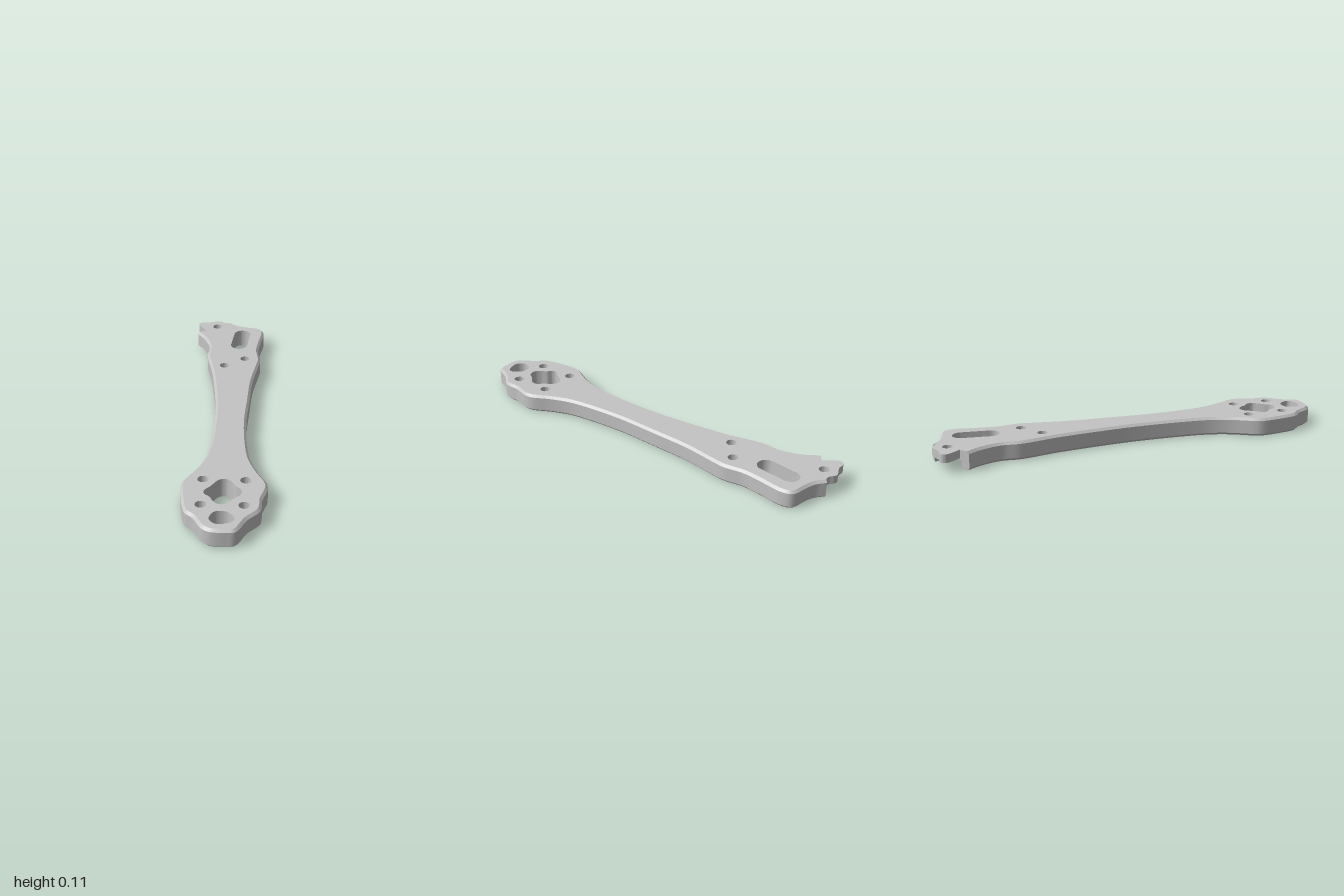
import * as THREE from 'three';
import { mergeGeometries, toCreasedNormals } from 'three/addons/utils/BufferGeometryUtils.js';

const TOP = 0.108, LEDGE = 0.06, CH = 0.014, END = -0.889;

// smooth plan curve through a flat x,z list
const smooth = (a, closed = false) => {
  const p = [];
  for (let i = 0; i < a.length; i += 2) p.push(new THREE.Vector3(a[i], 0, a[i + 1]));
  return new THREE.CatmullRomCurve3(p, closed, 'centripetal');
};
const plan = (curve, n) => curve.getPoints(n).map((p) => new THREE.Vector2(p.x, p.z));
const closedLoop = (a) => plan(smooth(a, true), 72).slice(0, -1);
const arc = (x, z, r, a0, a1, n) => Array.from({ length: n + 1 }, (_, i) => {
  const t = a0 + (a1 - a0) * i / n;
  return new THREE.Vector2(x + r * Math.cos(t), z + r * Math.sin(t));
});
const circle = (x, z) => arc(x, z, 0.029, 0, Math.PI * 2, 28).slice(0, -1);

// closed band between two plan loops at two heights
function wall(a, ya, b, yb) {
  const v = [];
  a.forEach((p, i) => {
    const j = (i + 1) % a.length, q = a[j], pu = b[i], qu = b[j];
    v.push(p.x, ya, p.y, pu.x, yb, pu.y, q.x, ya, q.y);
    v.push(q.x, ya, q.y, pu.x, yb, pu.y, qu.x, yb, qu.y);
  });
  const g = new THREE.BufferGeometry();
  g.setAttribute('position', new THREE.Float32BufferAttribute(v, 3));
  return g;
}

// flat face facing up (dir 1) or down (dir -1)
function cap(loop, holes, y, dir) {
  const flip = (l) => l.map((p) => new THREE.Vector2(p.x, -dir * p.y));
  const s = new THREE.Shape(flip(loop));
  s.holes = holes.map((h) => new THREE.Path(flip(h)));
  const g = new THREE.ShapeGeometry(s).rotateX(-dir * Math.PI / 2).translate(0, y, 0).toNonIndexed();
  g.deleteAttribute('uv');
  g.deleteAttribute('normal');
  return g;
}

export function createModel() {
  const group = new THREE.Group();
  group.name = 'arm';
  const grey = new THREE.MeshStandardMaterial({ color: 0xc4c4c4 });
  grey.name = 'light grey';

  // long side outline, from the right end corner round to the left end corner
  const side = smooth([
    0.65, END, 0.667, -0.826, 0.71, -0.766, 0.748, -0.722, 0.757, -0.688, 0.734, -0.637,
    0.64, -0.544, 0.56, -0.458, 0.527, -0.401, 0.497, -0.351, 0.45, -0.303, 0.298, -0.156,
    0.14, 0.03, -0.018, 0.221, -0.151, 0.417, -0.215, 0.534, -0.252, 0.654, -0.273, 0.761,
    -0.30, 0.804, -0.38, 0.866, -0.41, 0.903, -0.444, 0.934, -0.54, 0.956, -0.605, 0.99,
    -0.625, 0.998, -0.645, 0.999, -0.667, 0.986, -0.738, 0.93, -0.757, 0.884, -0.747, 0.784,
    -0.756, 0.729, -0.735, 0.671, -0.656, 0.534, -0.624, 0.501, -0.47, 0.427, -0.376, 0.359,
    -0.26, 0.234, -0.10, 0.03, 0.005, -0.126, 0.164, -0.393, 0.265, -0.596, 0.34, -0.686,
    0.38, -0.806, 0.386, END,
  ]);
  const N = 320;
  const outline = (inset) => Array.from({ length: N + 1 }, (_, i) => {
    const p = side.getPointAt(i / N), t = side.getTangentAt(i / N);
    if (i === 0) t.set(0, 0, 1);
    if (i === N) t.set(0, 0, -1);
    return new THREE.Vector2(p.x - t.z * inset, p.z + t.x * inset);
  });

  // end edge: scooped recess below, mounting tab above
  const scoop = arc(0.54, END, 0.1, Math.PI, 0, 24);
  const tab = plan(smooth([
    0.45, END, 0.45, -0.95, 0.453, -0.978, 0.464, -0.994, 0.482, -1, 0.5, -0.994, 0.525, -0.972,
    0.56, -0.962, 0.593, -0.952, 0.605, -0.935, 0.612, -0.907, 0.63, END,
  ]), 44);
  const full = outline(0), inner = outline(CH);
  const low = [...full, ...scoop], lowIn = [...inner, ...scoop];
  const high = [...full, ...tab], highIn = [...inner, ...tab];

  // cut-outs
  const tabHole = circle(0.54, END);
  const slotAngle = Math.atan2(-0.116, 0.111);
  const slot = [
    ...arc(0.611, -0.702, 0.052, slotAngle - Math.PI / 2, slotAngle + Math.PI / 2, 16),
    ...arc(0.5, -0.586, 0.052, slotAngle + Math.PI / 2, slotAngle + Math.PI * 1.5, 16),
  ];
  const shaftHole = closedLoop([
    -0.583, 0.641, -0.53, 0.626, -0.465, 0.605, -0.432, 0.62, -0.42, 0.66, -0.426, 0.7,
    -0.42, 0.74, -0.44, 0.772, -0.48, 0.781, -0.51, 0.787, -0.55, 0.798, -0.586, 0.78,
    -0.595, 0.74, -0.589, 0.7, -0.596, 0.665,
  ]);
  const wireHole = closedLoop([
    -0.694, 0.852, -0.667, 0.828, -0.637, 0.82, -0.602, 0.838, -0.585, 0.865, -0.586, 0.91,
    -0.6, 0.934, -0.628, 0.936, -0.685, 0.91, -0.698, 0.88,
  ]);
  const holes = [
    slot, shaftHole, wireHole,
    ...[[0.267, -0.411], [0.423, -0.411], [-0.529, 0.552], [-0.661, 0.729],
      [-0.354, 0.687], [-0.487, 0.861]].map(([x, z]) => circle(x, z)),
  ];

  const add = (name, parts) => {
    const mesh = new THREE.Mesh(toCreasedNormals(mergeGeometries(parts), 0.5), grey);
    mesh.name = name;
    group.add(mesh);
  };
  const bore = (h, y0) => {
    const r = [...h].reverse();
    return wall(r, y0, r, TOP);
  };

  add('rim', [
    wall(lowIn, 0, low, CH),
    wall(low, CH, low, LEDGE),
    wall(high, LEDGE, high, TOP - CH),
    wall(high, TOP - CH, highIn, TOP),
  ]);
  add('topFace', [cap(highIn, [...holes, tabHole], TOP, 1)]);
  add('bottomFace', [cap(lowIn, holes, 0, -1)]);
  // underside of the tab in two halves meeting around its hole
  add('tabUnderside', [
    cap([...tab, ...arc(0.54, END, 0.029, 0, -Math.PI, 14)], [], LEDGE, -1),
    cap([...scoop, ...arc(0.54, END, 0.029, 0, Math.PI, 14)], [], LEDGE, -1),
  ]);
  add('holeWalls', [...holes.map((h) => bore(h, 0)), bore(tabHole, LEDGE)]);
  return group;
}
